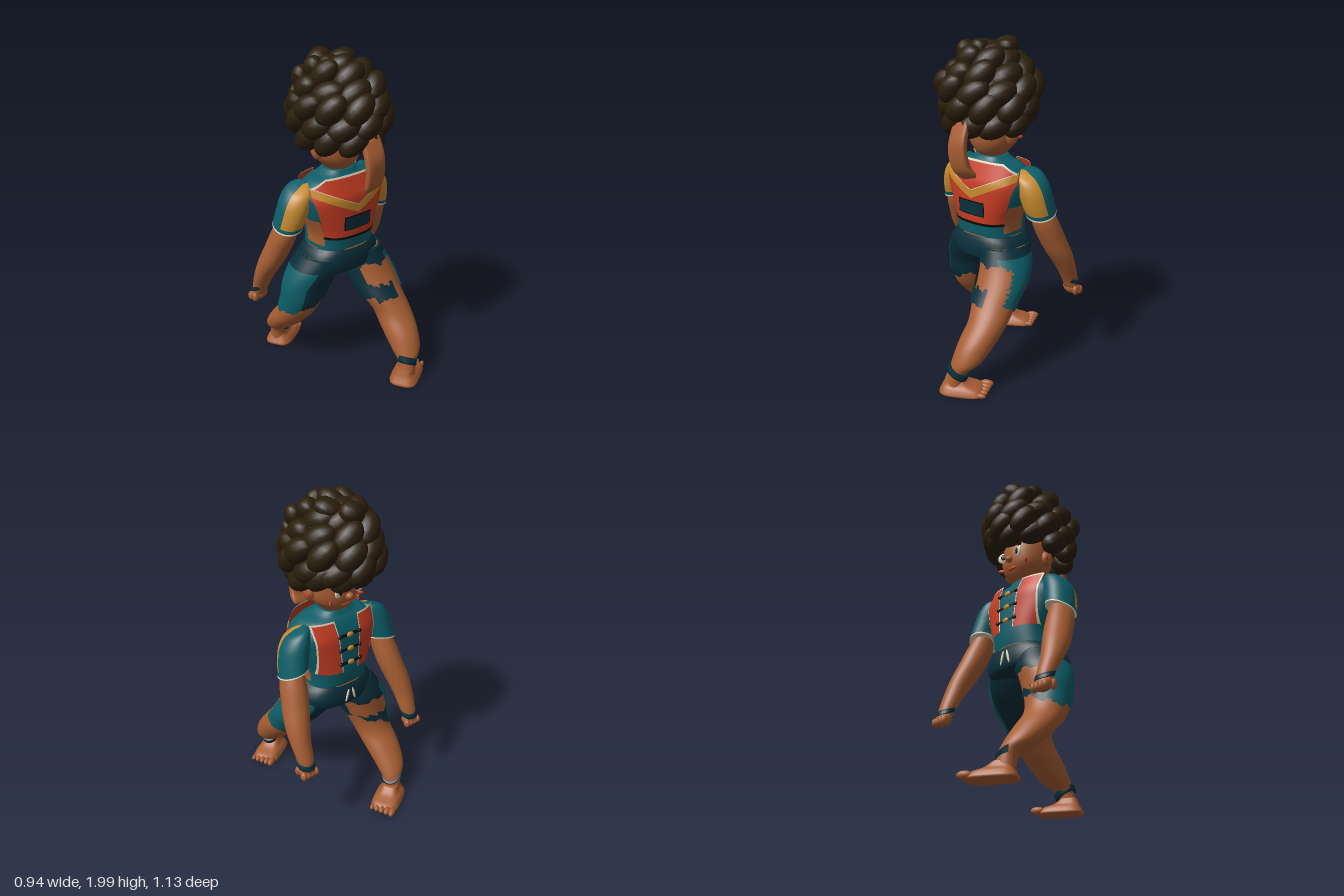
import * as THREE from 'three';

const paint = (name, color) => {
  const m = new THREE.MeshStandardMaterial({ color, side: THREE.DoubleSide });
  m.name = name;
  return m;
};
const skin = paint('skin', 0xa85e33), teal = paint('teal cloth', 0x0d5d68), navy = paint('dark teal cloth', 0x092e3a),
  red = paint('red cloth', 0xc73d23), gold = paint('gold cloth', 0xc68a2e), cream = paint('cream trim', 0xe4d9bd),
  black = paint('black', 0x0b0b0d), hairMat = paint('dark brown hair', 0x2a1e0b);

// Smooth interpolation of rings [y, centreX, centreZ, radiusX, radiusZ], listed top to bottom
function sample(rings, t) {
  const f = t * (rings.length - 1), i = Math.min(Math.floor(f), rings.length - 2), u = f - i;
  const r = k => rings[Math.max(0, Math.min(rings.length - 1, k))];
  return rings[i].map((_, c) => {
    const a = r(i - 1)[c], b = r(i)[c], d = r(i + 1)[c], e = r(i + 2)[c];
    return b + 0.5 * u * (d - a + u * (2 * a - 5 * b + 4 * d - e + u * (3 * (b - d) + e - a)));
  });
}

// Closed body through the rings; pick() chooses the material of each face, or -1 for none
function loft(name, rings, mats, { n = 2, tx = 0, tz = 0, segs = 32, steps = 24, grow = 1, pick = () => 0 } = {}) {
  const list = [];
  for (let i = 0; i <= steps; i++) list.push(sample(rings, i / steps));
  const cap = r => [r[0], r[1], r[2], 0.001, 0.001];
  list.unshift(cap(list[0]));
  list.push(cap(list[list.length - 1]));
  const pos = [], sets = mats.map(() => []);
  const pw = v => Math.sign(v) * Math.abs(v) ** (2 / n);
  for (const [y, cx, cz, rx, rz] of list) for (let j = 0; j < segs; j++) {
    const a = j / segs * Math.PI * 2, dx = rx * grow * pw(Math.cos(a)), dz = rz * grow * pw(Math.sin(a));
    pos.push(cx + dx, y + tx * dx + tz * dz, cz + dz);
  }
  for (let i = 0; i < list.length - 1; i++) for (let j = 0; j < segs; j++) {
    const k = (j + 1) % segs, p = i * segs + j, q = p + segs, p1 = i * segs + k, q1 = p1 + segs;
    const mid = c => (pos[p * 3 + c] + pos[q * 3 + c] + pos[p1 * 3 + c] + pos[q1 * 3 + c]) / 4;
    const m = pick(mid(0), mid(1), mid(2), (j + 0.5) / segs * Math.PI * 2, list[i]);
    if (m >= 0) sets[m].push(q, p, p1, q, p1, q1);
  }
  const g = new THREE.BufferGeometry();
  g.setAttribute('position', new THREE.Float32BufferAttribute(pos, 3));
  let start = 0;
  sets.forEach((s, m) => { g.addGroup(start, s.length, m); start += s.length; });
  g.setIndex(sets.flat());
  g.computeVertexNormals();
  const mesh = new THREE.Mesh(g, mats);
  mesh.name = name;
  return mesh;
}

const ball = new THREE.SphereGeometry(1, 14, 10);
function blob(name, mat, p, s, rot = [0, 0, 0]) {
  const m = new THREE.Mesh(ball, mat);
  m.name = name;
  m.position.set(...p); m.scale.set(...s); m.rotation.set(...rot);
  return m;
}

const torsoRings = [[1.325, 0, -0.025, 0.09, 0.085], [1.3, 0, -0.025, 0.13, 0.1], [1.27, 0, -0.02, 0.21, 0.13],
  [1.2, 0, -0.015, 0.272, 0.165], [1.1, 0, -0.015, 0.258, 0.172], [0.95, 0, -0.02, 0.202, 0.175], [0.84, 0, -0.02, 0.198, 0.165]];

// Depth of the torso surface; above the chest it continues as a standing vest flap
function torsoZ(x, y, side) {
  const yy = Math.min(y, 1.2);
  let t = 0;
  while (t < 1 && sample(torsoRings, t)[0] > yy) t += 0.005;
  const [, , cz, rx, rz] = sample(torsoRings, Math.min(t, 1));
  const k = Math.min(Math.abs(x) / rx, 0.985);
  return cz + side * (rz * (1 - k ** 2.6) ** (1 / 2.6) - Math.max(0, y - 1.2) * 0.4);
}

// Thin cloth panel lying on the torso; map(u, v) gives x and y
function panel(name, mat, side, off, map, nu = 20, nv = 14) {
  const g = new THREE.PlaneGeometry(1, 1, nu, nv), p = g.attributes.position;
  for (let i = 0; i < p.count; i++) {
    const [x, y] = map(p.getX(i) + 0.5, p.getY(i) + 0.5);
    p.setXYZ(i, x, y, torsoZ(x, y, side) + side * off);
  }
  if (side < 0) g.index.array.reverse();
  g.computeVertexNormals();
  const m = new THREE.Mesh(g, mat);
  m.name = name;
  return m;
}
const lerp = THREE.MathUtils.lerp;

function buildTorso(g) {
  g.add(loft('shirt', torsoRings, [teal, skin], { n: 2.6, segs: 64, steps: 50,
    pick: (x, y, z, a, r) => (y > 0.88 && y < 1.06 && Math.abs(x) > 0.7 * r[3] && z > -0.065 && z < 0.075 ? 1 : 0) }));
  // back of the vest
  const hw = y => (y < 1.2 ? lerp(0.182, 0.262, (y - 0.94) / 0.26) : lerp(0.262, 0.185, Math.max(0, y - 1.25) / 0.06));
  g.add(panel('vestBack', red, 1, 0.006, (u, v) => { const y = lerp(0.94, 1.308, v); return [(u * 2 - 1) * hw(y), y]; }, 28, 24));
  const chevron = (lo, hi) => (u, v) => { const x = (u * 2 - 1) * 0.26; return [x, 1.09 + Math.abs(x) * 0.48 + lerp(lo, hi, v)]; };
  g.add(panel('backChevron', gold, 1, 0.011, chevron(0, 0.048), 28, 4));
  g.add(panel('chevronTrim', cream, 1, 0.011, chevron(0.048, 0.052), 28, 1));
  g.add(panel('vestTopTrim', cream, 1, 0.01, (u, v) => {
    const x = (u * 2 - 1) * 0.255;
    return [x, 1.302 - Math.max(0, Math.abs(x) - 0.185) * 0.72 + v * 0.012];
  }, 28, 1));
  const bar = (name, mat, side, w, y0, y1, off) => g.add(panel(name, mat, side, off, (u, v) => [(u * 2 - 1) * w, lerp(y0, y1, v)], 14, 4));
  bar('backPatchEdge', black, 1, 0.098, 0.988, 1.076, 0.01);
  bar('backPatch', navy, 1, 0.092, 0.994, 1.07, 0.013);
  bar('backHem', black, 1, 0.187, 0.932, 0.948, 0.011);
  // front panels with straps and buttons
  for (const s of [-1, 1]) {
    const strip = (a, b) => (u, v) => [s * (lerp(a, b, u) + (v - 0.5) * 0.03), lerp(0.96, 1.29, v)];
    g.add(panel('vestFront', red, -1, 0.008, strip(0.072, 0.2)));
    g.add(panel('vestTrim', cream, -1, 0.01, strip(0.2, 0.209), 2));
    g.add(panel('vestTrim', cream, -1, 0.01, strip(0.066, 0.072), 2));
    g.add(panel('vestTopTrim', cream, -1, 0.01, (u, v) => [s * lerp(0.081, 0.224, u), 1.284 + v * 0.01], 10, 1));
  }
  for (const y of [1.02, 1.11, 1.2]) {
    bar('strap', black, -1, 0.075, y - 0.009, y + 0.009, 0.012);
    g.add(blob('button', gold, [0, y, torsoZ(0, y, -1) - 0.014], [0.024, 0.016, 0.01]));
    for (const s of [-1, 1]) g.add(blob('toggle', black, [s * 0.07, y, torsoZ(0.07, y, -1) - 0.014], [0.012, 0.012, 0.01]));
  }
  g.add(loft('waist', [[0.86, 0, -0.02, 0.2, 0.17], [0.854, 0, -0.02, 0.202, 0.172]], [skin], { n: 2.4, steps: 2 }));
}

function buildArm(s) {
  const g = new THREE.Group();
  g.name = s > 0 ? 'leftArm' : 'rightArm';
  const mir = rings => rings.map(([y, x, ...r]) => [y, s * x, ...r]);
  g.add(loft('arm', mir([[1.045, 0.328, -0.08, 0.06, 0.065], [0.95, 0.345, -0.105, 0.075, 0.085], [0.85, 0.362, -0.145, 0.079, 0.085],
    [0.75, 0.385, -0.19, 0.075, 0.08], [0.65, 0.4, -0.24, 0.064, 0.062], [0.55, 0.402, -0.288, 0.052, 0.048], [0.49, 0.405, -0.308, 0.048, 0.04]]), [skin]));
  g.add(loft('sleeve', mir([[1.262, 0.245, -0.04, 0.03, 0.04], [1.238, 0.268, -0.042, 0.07, 0.08], [1.18, 0.29, -0.05, 0.09, 0.098],
    [1.1, 0.31, -0.063, 0.09, 0.1], [1.03, 0.325, -0.08, 0.086, 0.096], [1.013, 0.328, -0.083, 0.087, 0.096]]), [teal, gold, cream],
    { tx: -s * 0.2, tz: -0.28, segs: 48, steps: 40,
      pick: (x, y, z, a, r) => (r[0] < 1.022 ? 2 : r[0] > 1.045 && Math.sin(a) > 0.32 ? 1 : 0) }));
  g.add(loft('wristband', mir([[0.545, 0.403, -0.292, 0.057, 0.052], [0.512, 0.405, -0.303, 0.057, 0.051]]), [navy], { tz: 0.4, steps: 3 }));
  // fist
  g.add(blob('palm', skin, [s * 0.405, 0.48, -0.312], [0.058, 0.042, 0.042]));
  for (let i = 0; i < 4; i++) g.add(blob('finger', skin, [s * (0.362 + i * 0.029), 0.463, -0.335], [0.017, 0.028, 0.024]));
  g.add(blob('thumb', skin, [s * 0.452, 0.475, -0.285], [0.017, 0.03, 0.02]));
  return g;
}

const backLeg = [[0.8, 0.13, 0, 0.12, 0.15], [0.7, 0.155, 0.03, 0.145, 0.155], [0.6, 0.178, 0.085, 0.148, 0.15], [0.5, 0.19, 0.165, 0.135, 0.135],
  [0.4, 0.212, 0.247, 0.115, 0.128], [0.3, 0.205, 0.33, 0.107, 0.123], [0.2, 0.19, 0.408, 0.09, 0.092], [0.13, 0.16, 0.458, 0.056, 0.054], [0.04, 0.142, 0.475, 0.055, 0.052]];
const frontLeg = [[0.8, -0.13, -0.02, 0.12, 0.15], [0.7, -0.16, -0.05, 0.15, 0.155], [0.6, -0.2, -0.075, 0.15, 0.135], [0.5, -0.225, -0.09, 0.135, 0.125],
  [0.4, -0.244, -0.13, 0.12, 0.12], [0.3, -0.252, -0.218, 0.112, 0.116], [0.2, -0.245, -0.315, 0.092, 0.092], [0.13, -0.218, -0.375, 0.06, 0.056], [0.04, -0.212, -0.39, 0.055, 0.052]];

function buildLeg(name, rings, footAt, shortsPick) {
  const g = new THREE.Group();
  g.name = name;
  g.add(loft('leg', rings, [skin], { steps: 40 }));
  g.add(loft('shortsLeg', rings.slice(0, 5), [navy, teal], { grow: 1.08, segs: 72, steps: 60, pick: shortsPick }));
  const [, ax, az] = rings[7];
  g.add(loft('ankleBand', [[0.155, ax + 0.006, az - 0.006, 0.062, 0.06], [0.115, ax - 0.004, az + 0.006, 0.06, 0.058]], [navy], { tx: -0.5, tz: 0.25, steps: 3 }));
  // foot, toes along local +z
  const foot = new THREE.Group();
  foot.name = 'foot';
  foot.add(loft('sole', [[0.095, 0, -0.07, 0.045, 0.048], [0.062, 0, -0.052, 0.058, 0.078], [0.04, 0, -0.024, 0.076, 0.116],
    [0.014, 0, -0.017, 0.089, 0.136], [0.003, 0, -0.017, 0.088, 0.134]], [skin], { n: 3.6 }));
  for (let i = 0; i < 5; i++) {
    const k = 1 - i * 0.08;
    foot.add(blob('toe', skin, [0.066 - i * 0.033, 0.022 * k + 0.002, 0.112 - i * 0.002], [0.02 * k, 0.022 * k, 0.042 * k]));
  }
  foot.position.set(footAt[0], 0, footAt[1]);
  foot.rotation.y = Math.atan2(0.85, -0.5);
  g.add(foot);
  return g;
}

function buildHead(g) {
  g.add(loft('head', [[1.66, 0, -0.03, 0.1, 0.1], [1.56, 0, -0.032, 0.15, 0.145], [1.47, 0, -0.035, 0.155, 0.147], [1.4, 0, -0.033, 0.14, 0.135],
    [1.35, 0, -0.03, 0.1, 0.108], [1.32, 0, -0.03, 0.075, 0.075], [1.28, 0, -0.03, 0.08, 0.075]], [skin]));
  g.add(blob('nose', skin, [0, 1.445, -0.18], [0.024, 0.022, 0.026]));
  g.add(blob('mouth', red, [0, 1.388, -0.16], [0.034, 0.011, 0.009]));
  for (const s of [-1, 1]) {
    const turn = s * 0.45;
    g.add(blob('ear', skin, [s * 0.158, 1.45, -0.015], [0.03, 0.052, 0.04]));
    g.add(blob('innerEar', red, [s * 0.176, 1.445, -0.036], [0.008, 0.02, 0.012]));
    g.add(blob('eye', cream, [s * 0.064, 1.482, -0.167], [0.04, 0.036, 0.012], [0, turn, 0]));
    g.add(blob('pupil', black, [s * 0.058, 1.482, -0.178], [0.016, 0.02, 0.006], [0, turn, 0]));
    g.add(blob('brow', hairMat, [s * 0.066, 1.527, -0.165], [0.04, 0.009, 0.01], [0, turn, s * 0.15]));
    g.add(blob('cheekPaint', red, [s * 0.1, 1.415, -0.139], [0.03, 0.013, 0.008], [0, s * 0.75, 0]));
  }
  g.add(loft('headbandTail', [[1.56, 0.012, 0.24, 0.06, 0.022], [1.46, 0.014, 0.28, 0.062, 0.024], [1.38, 0.018, 0.287, 0.062, 0.022],
    [1.3, 0.028, 0.268, 0.06, 0.025], [1.255, 0.042, 0.238, 0.055, 0.024], [1.235, 0.05, 0.225, 0.042, 0.015]], [skin], { n: 4, tx: 0.25 }));
}

function buildHair() {
  const g = new THREE.Group();
  g.name = 'hair';
  g.add(blob('hairCore', hairMat, [-0.005, 1.715, -0.005], [0.235, 0.21, 0.24]));
  // tiers of twisted curls: height, radius, count
  [[1.545, 0.207, 10], [1.635, 0.232, 10], [1.725, 0.232, 10], [1.81, 0.19, 8], [1.88, 0.118, 6], [1.905, 0.04, 3]].forEach(([y, r, n], t) => {
    for (let i = 0; i < n; i++) {
      const a = (i + t * 0.45) / n * Math.PI * 2, w = Math.sin(i * 5.1 + t * 2.3);
      const x = Math.cos(a) * (r + w * 0.01), z = Math.sin(a) * (r + 0.018 + w * 0.01);
      const lift = t === 0 && z < -0.1 ? 0.05 : 0;
      const c = blob('curl', hairMat, [x - 0.008, y + lift + w * 0.01, z - 0.007], [0.108, 0.07, 0.07]);
      c.rotation.set(0, Math.PI / 2 - a, 0.65 + w * 0.2, 'YXZ');
      g.add(c);
    }
  });
  g.add(blob('topCurl', hairMat, [-0.02, 1.925, -0.165], [0.085, 0.066, 0.07], [0, 0.4, 0.4]));
  g.add(blob('topCurl', hairMat, [0.06, 1.94, -0.07], [0.085, 0.052, 0.065], [0, -0.5, 0.3]));
  return g;
}

export function createModel() {
  const model = new THREE.Group();
  model.name = 'figure';
  buildTorso(model);
  for (const s of [-1, 1]) model.add(buildArm(s));
  // shorts
  model.add(loft('shortsHips', [[0.86, 0, -0.02, 0.198, 0.168], [0.825, 0, -0.02, 0.23, 0.18], [0.775, 0, -0.02, 0.25, 0.187],
    [0.725, 0, -0.02, 0.235, 0.18], [0.7, 0, -0.015, 0.2, 0.15]], [navy], { n: 2.6 }));
  for (const s of [-1, 1]) model.add(blob('drawstring', cream, [s * 0.024, 0.785, -0.208], [0.008, 0.045, 0.006], [0, 0, s * 0.25]));
  // ragged legs of the shorts with side panels and worn holes
  const jag = a => 0.01 * Math.sin(a * 7) + 0.005 * Math.sin(a * 15);
  model.add(buildLeg('trailingLeg', backLeg, [0.195, 0.43], (x, y, z, a) => {
    const dx = Math.cos(a), dz = Math.sin(a), worn = dz > 0.55 + jag(y * 30) * 5 && dx > -0.75;
    if (y < 0.43 + 0.6 * (z - 0.1) + jag(a) * 0.4 - (worn && dx < 0.2 ? 0.05 : 0)) return -1;
    if (worn && y < 0.71 + jag(a)) return dx < 0.2 && y < 0.585 + jag(a * 2) ? 0 : -1;
    return dx > 0.4 && y < 0.75 ? 1 : 0;
  }));
  model.add(buildLeg('leadingLeg', frontLeg, [-0.14, -0.43], (x, y, z, a) => {
    if (y < 0.43 + 0.4 * (x + 0.35) + jag(a)) return -1;
    const dx = Math.cos(a), dz = Math.sin(a);
    if (dz < -0.35 && dx > -0.55 && y < 0.66 + jag(a) && y > 0.54 + jag(a * 2)) return -1;
    return dx < -0.6 && y < 0.72 ? 1 : 0;
  }));
  buildHead(model);
  model.add(buildHair());
  return model;
}
